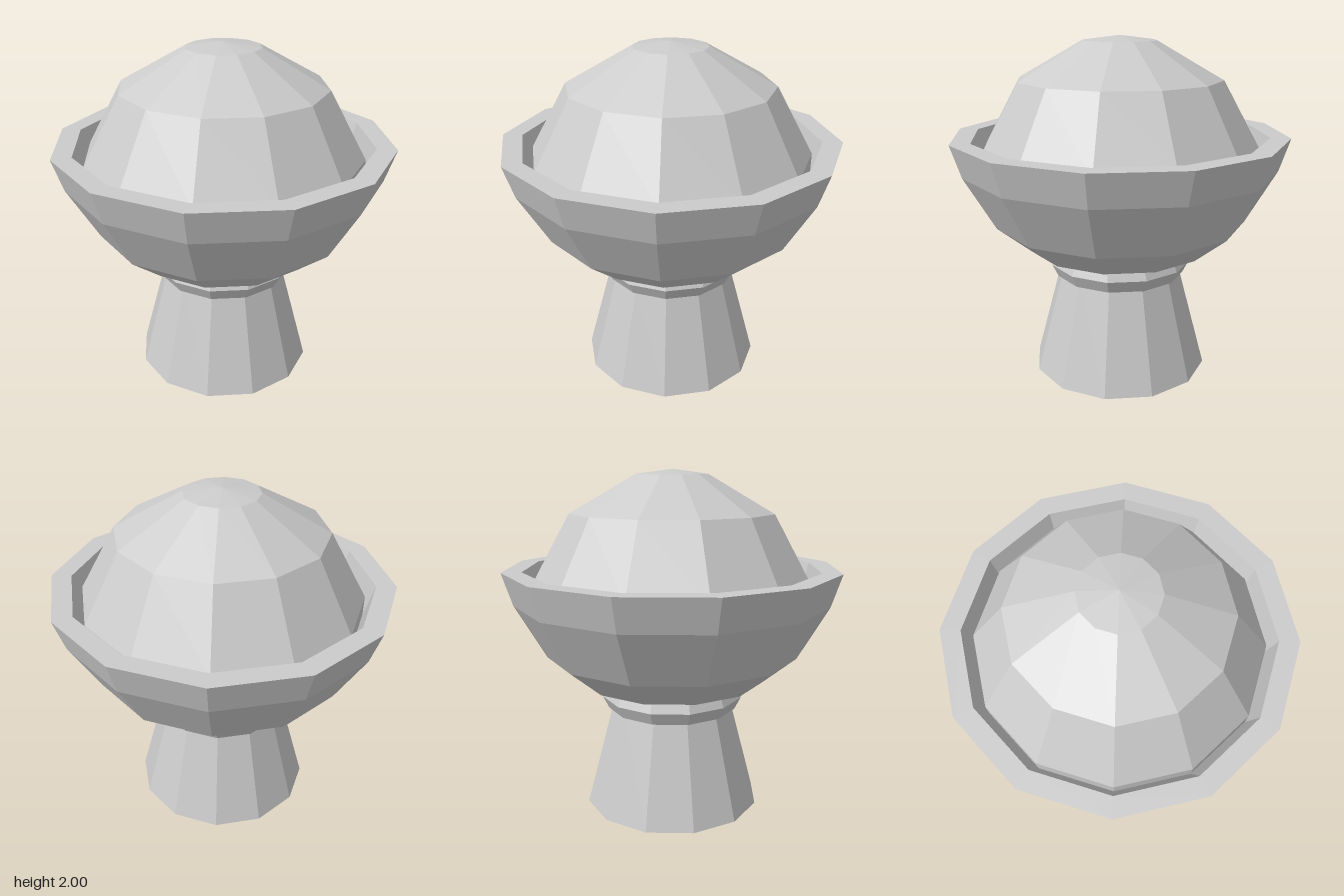
import * as THREE from 'three';

const SIDES = 12;

// Faceted turned part from [radius, height] pairs, ordered bottom to top along the outside
function turned(name, profile) {
  const points = profile.map(([r, y]) => new THREE.Vector2(r, y));
  const material = new THREE.MeshStandardMaterial({ color: 0xcccccc, flatShading: true });
  const mesh = new THREE.Mesh(new THREE.LatheGeometry(points, SIDES), material);
  mesh.name = name;
  return mesh;
}

export function createModel() {
  const group = new THREE.Group();
  group.name = 'pedestalBowl';

  group.add(
    // Tapered foot with a closed underside
    turned('pedestal', [[0, 0], [0.53, 0], [0.365, 0.62], [0, 0.62]]),

    // Bevelled ring between foot and bowl
    turned('collar', [[0, 0.6], [0.39, 0.6], [0.427, 0.675], [0.4, 0.74], [0, 0.74]]),

    // Bowl with a flat rim and a sloping inner wall
    turned('bowl', [
      [0, 0.735], [0.4, 0.738], [0.545, 0.775], [0.745, 0.94], [0.92, 1.25],
      [0.98, 1.44], [0.865, 1.44], [0.81, 1.25], [0, 1.25],
    ]),

    // Domed filling rising out of the bowl
    turned('dome', [[0.81, 1.25], [0.81, 1.37], [0.593, 1.757], [0.213, 1.972], [0, 2]]),
  );

  return group;
}
